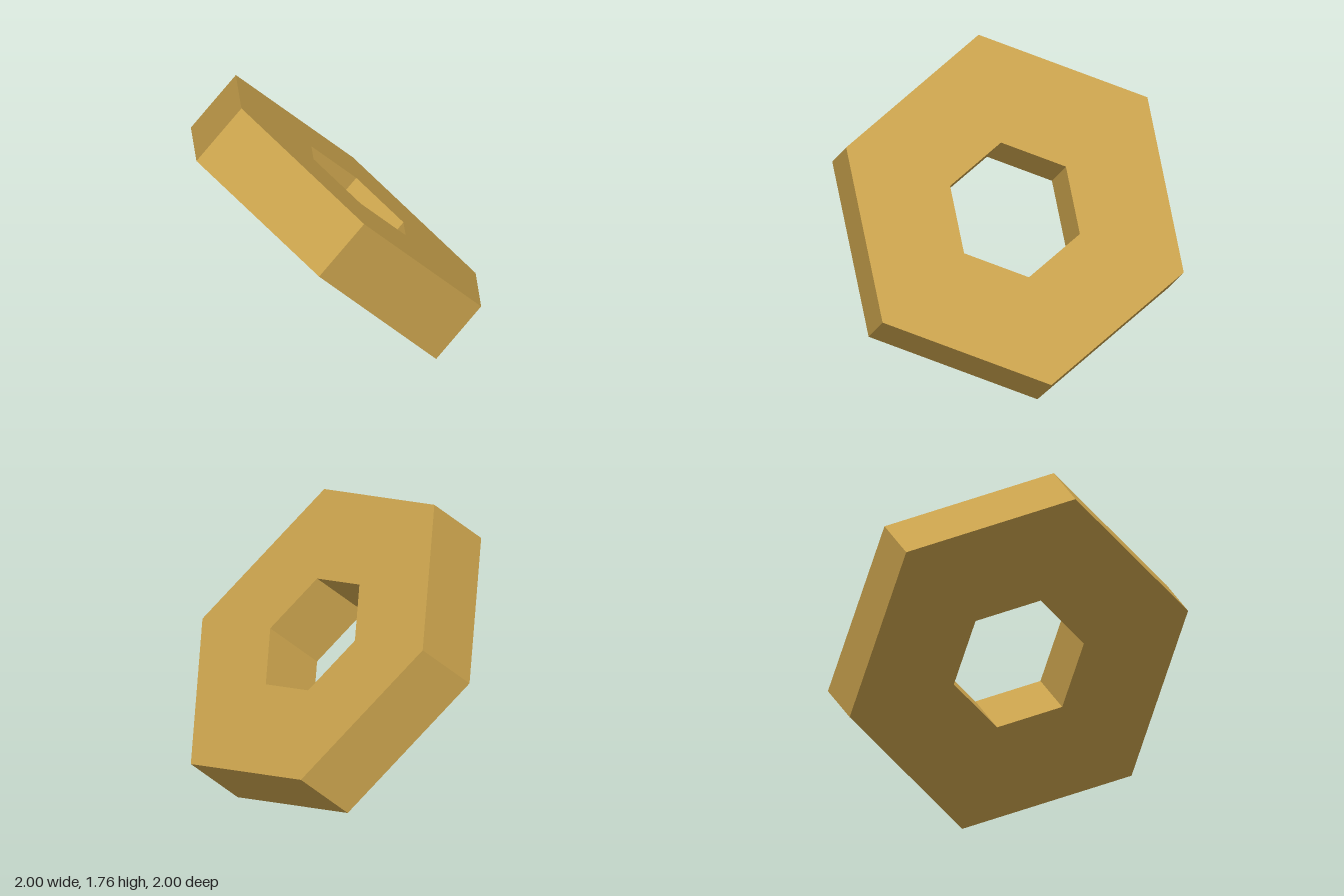
import * as THREE from 'three';

const OUTER_RADIUS = 1.043;
const HOLE_RADIUS = 0.401;
const THICKNESS = 0.401;

// Regular hexagon with a corner pointing up
function hexagon(radius) {
  return Array.from({ length: 6 }, (_, i) => {
    const a = Math.PI / 2 + (i * Math.PI) / 3;
    return new THREE.Vector2(radius * Math.cos(a), radius * Math.sin(a));
  });
}

export function createModel() {
  const group = new THREE.Group();
  group.name = 'tiltedHexNut';

  const brass = new THREE.MeshStandardMaterial({ color: 0xc8a14c });
  brass.name = 'brass';

  // Hexagonal ring with a straight hexagonal hole
  const shape = new THREE.Shape(hexagon(OUTER_RADIUS));
  shape.holes.push(new THREE.Path(hexagon(HOLE_RADIUS)));
  const geometry = new THREE.ExtrudeGeometry(shape, { depth: THICKNESS, bevelEnabled: false });
  geometry.translate(0, 0, -THICKNESS / 2);

  // Axis leans 45 degrees up, toward the back and the model's left
  const nut = new THREE.Mesh(geometry, brass);
  nut.name = 'hexNut';
  nut.rotation.set(-Math.PI / 4, (3 * Math.PI) / 4, 0, 'YXZ');

  // Rest the lowest corner on the ground
  nut.position.y = (OUTER_RADIUS + THICKNESS / 2) * Math.SQRT1_2;
  group.add(nut);
  return group;
}
